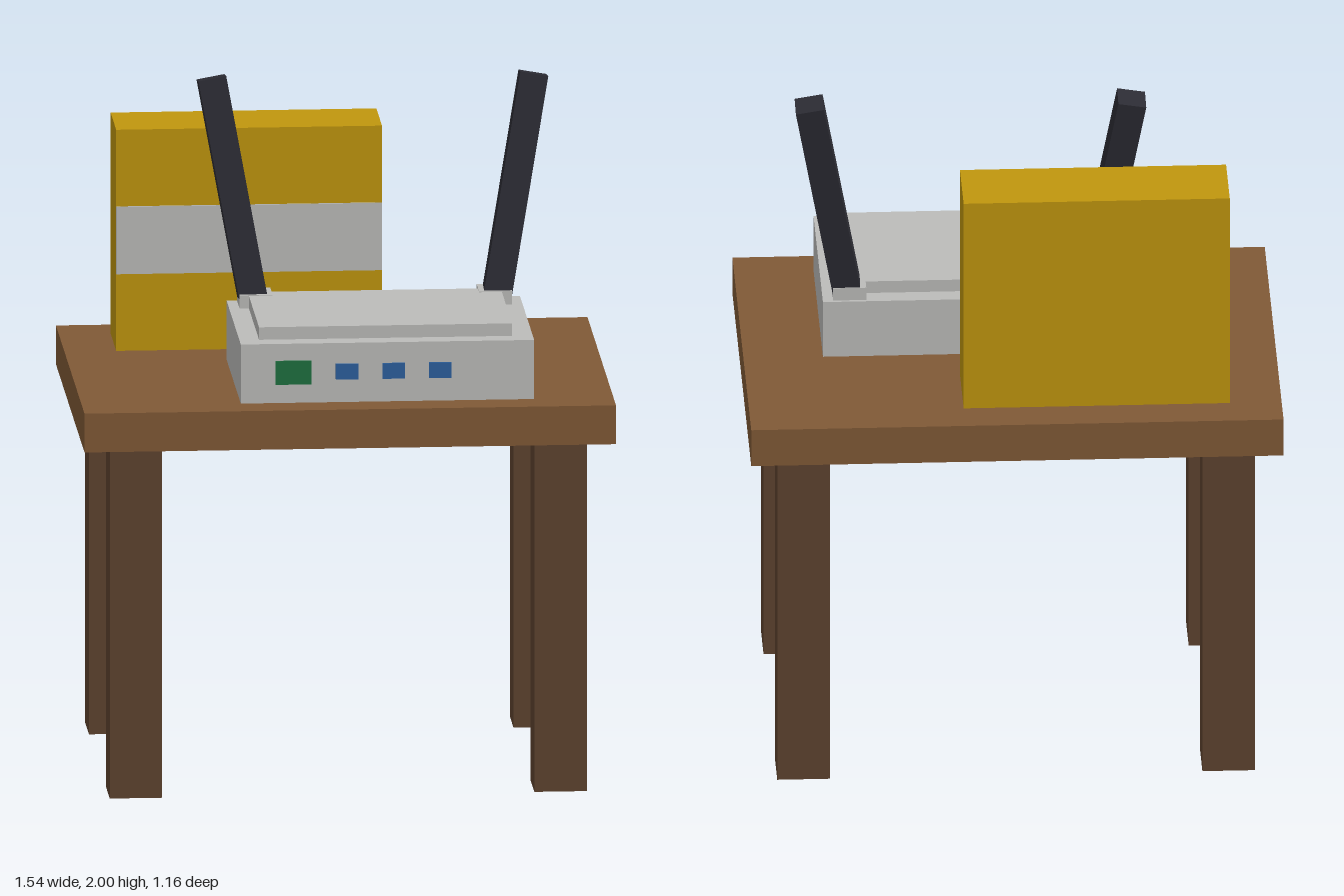
import * as THREE from 'three';

const mat = (name, color) => {
  const m = new THREE.MeshStandardMaterial({ color });
  m.name = name;
  return m;
};

// Box given by its lower and upper limits on each axis
function block(name, material, [x0, x1], [y0, y1], [z0, z1]) {
  const mesh = new THREE.Mesh(new THREE.BoxGeometry(x1 - x0, y1 - y0, z1 - z0), material);
  mesh.position.set((x0 + x1) / 2, (y0 + y1) / 2, (z0 + z1) / 2);
  mesh.name = name;
  return mesh;
}

export function createModel() {
  const topWood = mat('table top brown', 0x805936);
  const legWood = mat('leg brown', 0x5e432f);
  const yellow = mat('carton yellow', 0xc0960e);
  const grey = mat('light grey', 0xbcbcba);
  const black = mat('antenna black', 0x2c2c34);
  const green = mat('indicator green', 0x1f7040);
  const blue = mat('indicator blue', 0x2c609e);

  const model = new THREE.Group();
  model.name = 'tableWithRouter';

  // Table
  const table = new THREE.Group();
  table.name = 'table';
  table.add(block('tableTop', topWood, [-0.77, 0.77], [1.045, 1.16], [-0.58, 0.58]));
  for (const x of [-0.615, 0.615]) {
    for (const z of [-0.422, 0.422]) {
      table.add(block('tableLeg', legWood, [x - 0.076, x + 0.076], [0, 1.045], [z - 0.076, z + 0.076]));
    }
  }

  // Upright carton with a pale band on its front
  const carton = new THREE.Group();
  carton.name = 'carton';
  carton.add(block('cartonBody', yellow, [-0.62, 0.15], [1.16, 1.815], [-0.462, -0.235]));
  carton.add(block('cartonBand', grey, [-0.62, 0.15], [1.388, 1.588], [-0.235, -0.23]));

  // Router body with raised lid
  const router = new THREE.Group();
  router.name = 'router';
  router.add(block('routerBody', grey, [-0.31, 0.54], [1.16, 1.335], [-0.097, 0.48]));
  router.add(block('routerLid', grey, [-0.253, 0.48], [1.335, 1.372], [-0.042, 0.422]));

  // Indicator lights on the front
  router.add(block('wideLight', green, [-0.21, -0.105], [1.215, 1.285], [0.48, 0.486]));
  for (let i = 0; i < 3; i++) {
    const x = -0.035 + i * 0.135;
    router.add(block('smallLight', blue, [x, x + 0.065], [1.228, 1.274], [0.48, 0.486]));
  }

  // Antennas leaning outwards and back, each on a small socket
  const centre = 0.115;
  const length = 0.642;
  for (const side of [-1, 1]) {
    const sx = centre + side * 0.347;
    router.add(block('antennaSocket', grey, [sx - 0.048, sx + 0.048], [1.335, 1.374], [-0.088, 0.009]));

    const geometry = new THREE.BoxGeometry(0.082, length, 0.082).translate(0, length / 2, 0);
    const antenna = new THREE.Mesh(geometry, black);
    antenna.name = side < 0 ? 'rightAntenna' : 'leftAntenna';
    antenna.position.set(centre + side * 0.355, 1.362, -0.042);
    antenna.rotation.set(THREE.MathUtils.degToRad(-8.5), 0, THREE.MathUtils.degToRad(-side * 10));
    router.add(antenna);
  }

  model.add(table, carton, router);
  return model;
}
